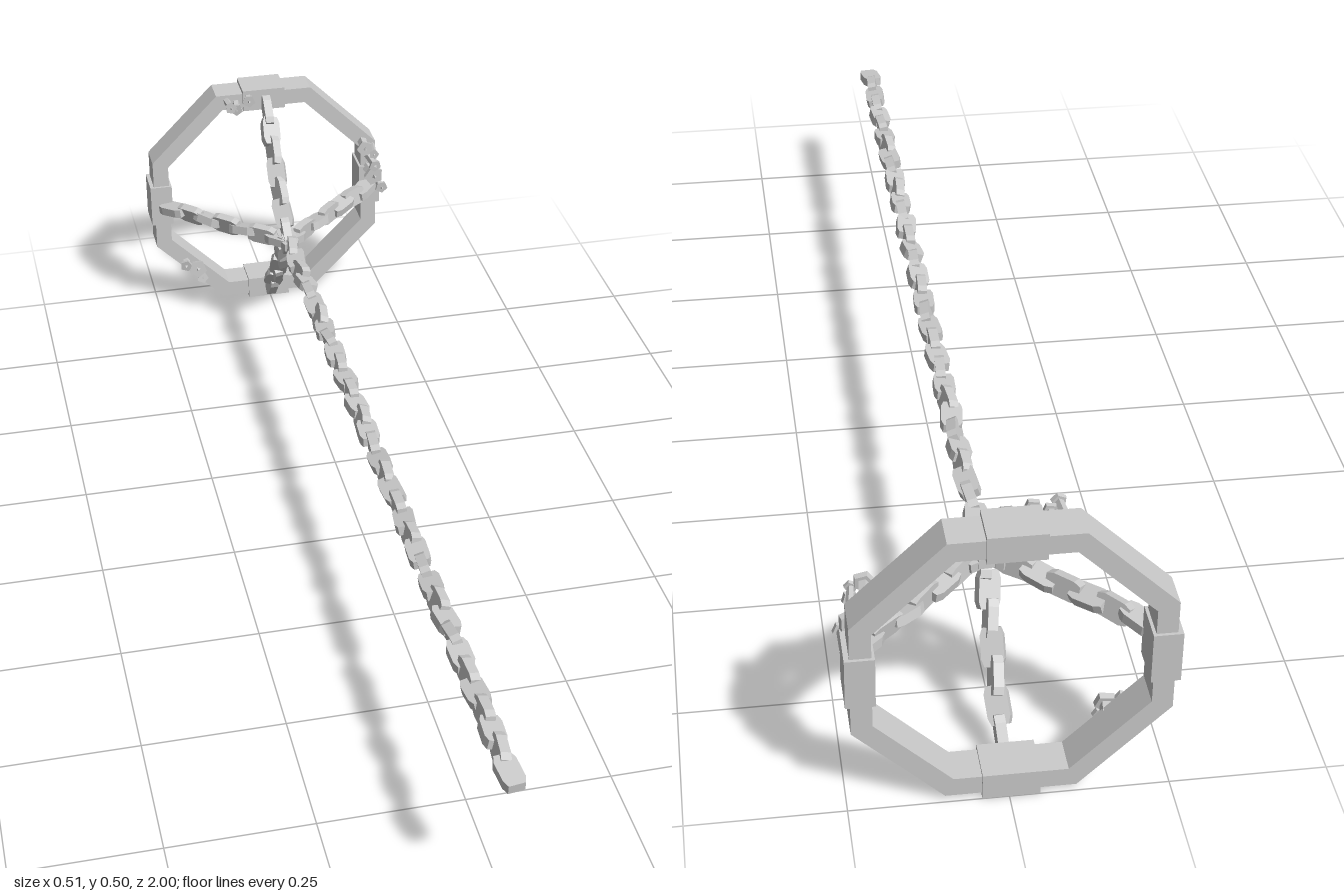
import * as THREE from 'three';

const material = new THREE.MeshStandardMaterial({ color: 0xcccccc, flatShading: true });
const CX = -0.003, CY = 0.254;

function add(parent, name, geometry, x = 0, y = 0, z = 0) {
  const mesh = new THREE.Mesh(geometry, material);
  mesh.name = name;
  mesh.position.set(x, y, z);
  parent.add(mesh);
  return mesh;
}

// Seeded jitter in the range -1..1
let seed = 7;
function jitter() {
  seed = (seed * 16807) % 2147483647;
  return (seed / 2147483647) * 2 - 1;
}

// Octagon with unequal sides, counter-clockwise: straight runs and cut corners
function octagon(target, half, run, tall) {
  [[run, half[1]], [-run, half[1]], [-half[0], tall], [-half[0], -tall],
    [-run, -half[1]], [run, -half[1]], [half[0], -tall], [half[0], tall]]
    .forEach(([x, y], i) => (i ? target.lineTo(x, y) : target.moveTo(x, y)));
  target.closePath();
  return target;
}

// Flat blunt chain link, long along local z and wide along x
function linkGeometry() {
  const w = 0.0185, l = 0.031, n = 0.014;
  const shape = new THREE.Shape([
    [-n, -l], [n, -l], [w, -l * 0.6], [w, l * 0.6], [n, l], [-n, l], [-w, l * 0.6], [-w, -l * 0.6],
  ].map(p => new THREE.Vector2(...p)));
  return new THREE.ExtrudeGeometry(shape, { depth: 0.017, bevelEnabled: false })
    .translate(0, 0, -0.0085).rotateX(Math.PI / 2);
}

// Row of links from one point to another, each turned a quarter from the last
function chain(parent, name, from, to, up, count) {
  const group = new THREE.Group();
  group.name = name;
  const geometry = linkGeometry();
  const dir = to.clone().sub(from).normalize();
  const x = new THREE.Vector3().crossVectors(up, dir).normalize();
  const y = new THREE.Vector3().crossVectors(dir, x);
  const base = new THREE.Quaternion().setFromRotationMatrix(new THREE.Matrix4().makeBasis(x, y, dir));
  for (let i = 0; i < count; i++) {
    const link = add(group, 'link', geometry);
    const end = i === 0 || i === count - 1;
    link.position.lerpVectors(from, to, i / (count - 1));
    const wobble = new THREE.Euler(jitter() * 0.14, jitter() * 0.14, (i % 2) * Math.PI / 2 + (end ? 0 : jitter() * 0.4));
    link.quaternion.copy(base).multiply(new THREE.Quaternion().setFromEuler(wobble));
  }
  parent.add(group);
}

// Barnacle: thin stem, flat five-sided cap and small three-sided tip, pointing +z
function barnacle(parent, x, y, r, height) {
  const group = new THREE.Group();
  group.name = 'barnacle';
  const parts = [
    ['stem', r * 0.5, r * 0.6, height, 5, height / 2],
    ['cap', r, r * 0.9, r * 0.5, 5, height - r * 0.25],
    ['tip', 0, r * 0.25, r * 0.5, 3, height + r * 0.25],
  ];
  for (const [name, top, bottom, h, sides, z] of parts) {
    add(group, name, new THREE.CylinderGeometry(top, bottom, h, sides).rotateX(Math.PI / 2), 0, 0, z);
  }
  group.position.set(x, y, -0.94);
  group.rotation.set(jitter() * 0.15, jitter() * 0.15, jitter() * 3);
  parent.add(group);
}

export function createModel() {
  const model = new THREE.Group();
  model.name = 'chainedRing';

  // Octagonal ring
  const ringShape = octagon(new THREE.Shape(), [0.245, 0.244], 0.102, 0.101);
  ringShape.holes.push(octagon(new THREE.Path(), [0.212, 0.211], 0.089, 0.088));
  add(model, 'ring', new THREE.ExtrudeGeometry(ringShape, { depth: 0.06, bevelEnabled: false }), CX, CY, -0.995);

  // Four clamps around the ring
  for (const s of [-1, 1]) {
    add(model, 'clamp', new THREE.BoxGeometry(0.09, 0.046, 0.07), CX, CY + s * 0.229, -0.965);
    add(model, 'clamp', new THREE.BoxGeometry(0.046, 0.09, 0.07), CX + s * 0.23, CY, -0.965);
  }

  // Long main chain
  const V = (x, y, z) => new THREE.Vector3(x, y, z);
  chain(model, 'mainChain', V(0.002, 0.256, 0.969), V(0.002, 0.256, -0.72), V(0, 1, 0), 37);

  // Four short chains from the hub to the clamps
  for (const [x, y] of [[0, 1], [0, -1], [1, 0], [-1, 0]]) {
    chain(model, 'armChain', V(x * 0.21, 0.255 + y * 0.21, -0.908),
      V(x * 0.012, 0.256 + y * 0.012, -0.725), V(-y, x, 0), 7);
  }

  // Barnacle clusters: x, y, radius, height
  [
    [-0.083, 0.486, 0.013, 0.045], [-0.062, 0.479, 0.014, 0.035], [-0.036, 0.491, 0.014, 0.03],
    [0.213, 0.358, 0.018, 0.05], [0.235, 0.347, 0.011, 0.055], [0.222, 0.328, 0.014, 0.06],
    [0.224, 0.293, 0.022, 0.045], [0.243, 0.271, 0.014, 0.055],
    [-0.185, 0.11, 0.014, 0.025], [-0.16, 0.096, 0.02, 0.03], [-0.155, 0.072, 0.013, 0.03],
  ].forEach(b => barnacle(model, ...b));

  return model;
}
